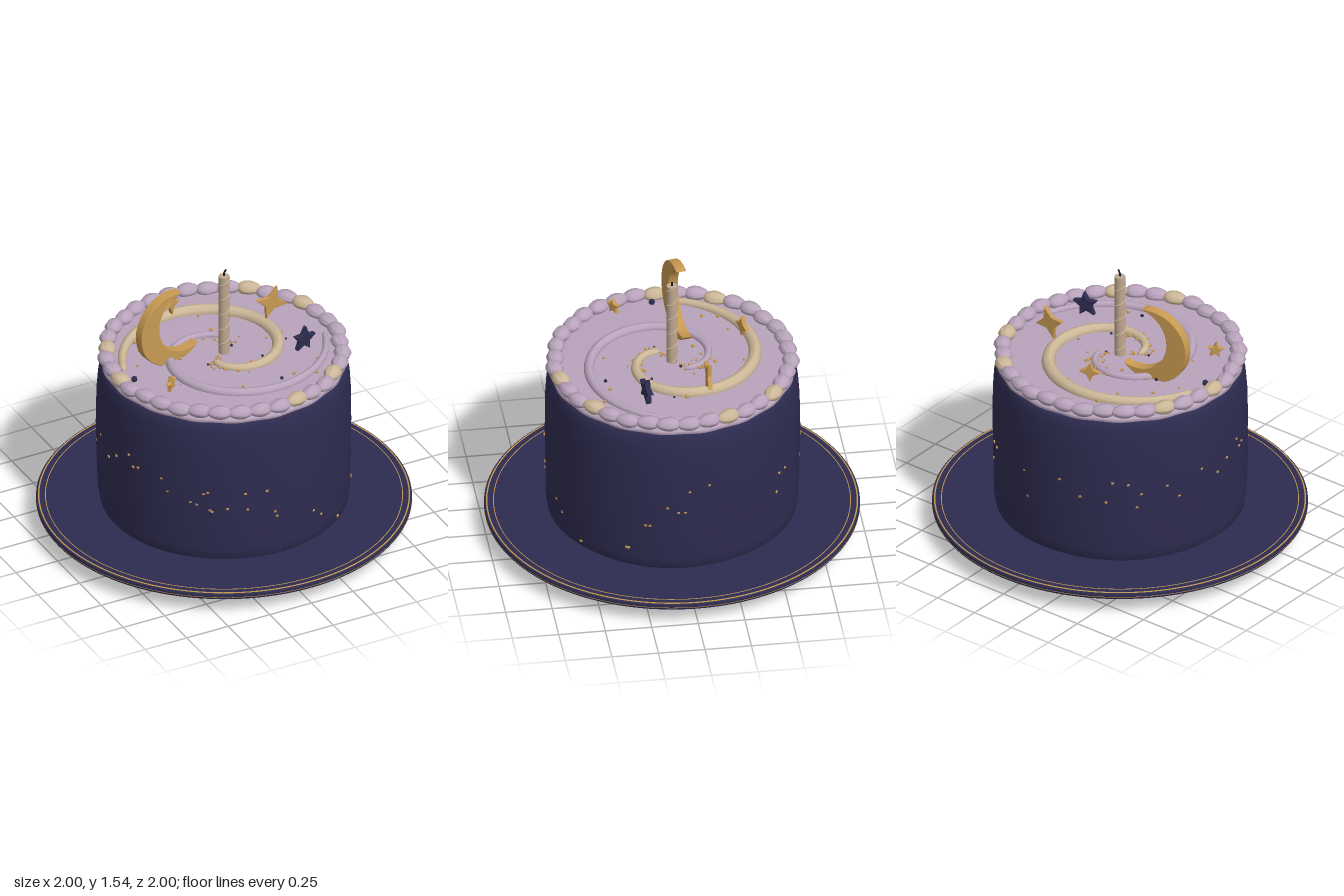
import * as THREE from 'three';

const mat = (name, color) => {
  const m = new THREE.MeshStandardMaterial({ color });
  m.name = name;
  return m;
};

export function createModel() {
  const navy = mat('midnight navy', 0x2e2c50);
  const lilac = mat('lilac frosting', 0xb8a3bb);
  const cream = mat('cream frosting', 0xcbb697);
  const wax = mat('candle wax', 0xbfa88f);
  const gold = mat('gold', 0xc89a52);
  const dark = mat('wick black', 0x1d1b2b);

  const root = new THREE.Group();
  root.name = 'celestialCake';
  const add = (name, geo, material, x = 0, y = 0, z = 0, parent = root) => {
    const m = new THREE.Mesh(geo, material);
    m.name = name;
    m.position.set(x, y, z);
    parent.add(m);
    return m;
  };
  const group = (name) => {
    const g = new THREE.Group();
    g.name = name;
    root.add(g);
    return g;
  };
  const lathe = (pts, seg = 96) =>
    new THREE.LatheGeometry(pts.map(([r, y]) => new THREE.Vector2(r, y)), seg);
  let seed = 7;
  const rand = () => (seed = (seed * 16807) % 2147483647) / 2147483647;

  // Plate with a short foot and gold lines
  add('plate', lathe([[0, 0], [0.46, 0], [0.465, 0.004], [0.52, 0.045], [0.53, 0.048], [0.85, 0.06],
    [0.97, 0.08], [0.995, 0.093], [1, 0.1], [1, 0.12], [0.995, 0.126], [0.98, 0.127], [0, 0.127]], 128), navy);
  const ring = (name, r, y, t) => add(name, new THREE.TorusGeometry(r, t, 6, 128), gold, 0, y, 0).rotateX(Math.PI / 2);
  ring('plateRimLine', 0.986, 0.125, 0.005);
  ring('plateInnerLine', 0.95, 0.126, 0.003);
  ring('plateEdgeLine', 0.998, 0.106, 0.003);
  ring('plateFootLine', 0.52, 0.045, 0.003);

  // Cake body, slightly uneven around the sides
  const sideR = (y) => y > 0.8 ? 0.678 - 0.6 * (y - 0.8) ** 2 : 0.68 - 0.015 * Math.abs(y - 0.6);
  const body = lathe([[0, 0.125], [0.645, 0.125], [0.662, 0.14], [0.672, 0.2], [0.677, 0.4], [0.68, 0.6],
    [0.677, 0.8], [0.67, 0.9], [0.66, 0.955], [0.645, 0.98], [0.6, 0.99], [0, 0.99]]);
  const wobble = (geo, amount, waves) => {
    const p = geo.attributes.position;
    for (let i = 0; i < p.count; i++) {
      const s = 1 + amount * Math.sin(waves * Math.atan2(p.getZ(i), p.getX(i)) + 4 * p.getY(i));
      p.setXYZ(i, p.getX(i) * s, p.getY(i), p.getZ(i) * s);
    }
    geo.computeVertexNormals();
    return geo;
  };
  add('cakeBody', wobble(body, 0.004, 5), navy);

  // Frosting layer with a softly scalloped edge
  add('frostingTop', wobble(lathe([[0.6, 0.97], [0.64, 0.973], [0.655, 0.985], [0.65, 1.0], [0.635, 1.012],
    [0.58, 1.02], [0, 1.02]], 144), 0.006, 18), lilac);

  // Piped shell border; a few shells are cream
  const border = group('pipedBorder');
  const shell = new THREE.SphereGeometry(1, 20, 12);
  const sp = shell.attributes.position;
  for (let i = 0; i < sp.count; i++) {
    const x = sp.getX(i), y = sp.getY(i), z = sp.getZ(i);
    const s = 1 + 0.05 * Math.cos(8 * Math.atan2(y, x));
    const fat = 1 - 0.15 * z;
    sp.setXYZ(i, x * s * fat, y * s * fat, z);
  }
  shell.computeVertexNormals();
  const count = 36;
  const creamAt = [-52, -19, 48, 81, 210, 180].map((d) => (Math.round(d / 10) + count) % count);
  for (let i = 0; i < count; i++) {
    const a = (i / count) * Math.PI * 2;
    const r = 0.628 + 0.006 * Math.sin(i * 2.3);
    const isCream = creamAt.includes(i);
    const m = add(isCream ? 'creamShell' : 'lilacShell', shell, isCream ? cream : lilac,
      Math.cos(a) * r, 1.034 + 0.003 * Math.sin(i * 1.7), Math.sin(a) * r, border);
    m.rotation.y = -a + 0.12;
    m.scale.set(0.045, 0.034, 0.066);
  }

  // Two facing piped spirals, tapered toward the ends
  class Spiral extends THREE.Curve {
    constructor(start) { super(); this.start = start; }
    getPoint(t, v = new THREE.Vector3()) {
      const a = this.start - t * 5.64, r = 0.1 + 0.465 * t;
      return v.set(Math.cos(a) * r, 1.024, Math.sin(a) * r);
    }
  }
  const taperedTube = (curve, n, radius) => {
    const sides = 12, geo = new THREE.TubeGeometry(curve, n, 1, sides);
    const p = geo.attributes.position, v = new THREE.Vector3();
    for (let i = 0; i <= n; i++) {
      const c = curve.getPointAt(i / n);
      for (let j = 0; j <= sides; j++) {
        const k = i * (sides + 1) + j;
        v.fromBufferAttribute(p, k).sub(c).multiplyScalar(radius(i / n)).add(c);
        p.setXYZ(k, v.x, v.y, v.z);
      }
    }
    geo.computeVertexNormals();
    return geo;
  };
  const swell = (min, max) => (t) =>
    (min + (max - min) * Math.sin(Math.PI * t)) * Math.sqrt(Math.min(1, 60 * t, 60 * (1 - t)));
  add('creamSpiral', taperedTube(new Spiral(2.63), 120, swell(0.02, 0.036)), cream);
  add('lilacSpiral', taperedTube(new Spiral(2.63 + Math.PI), 120, swell(0.015, 0.028)), lilac);

  // Candle with a twisted ridge and bent wick
  const candle = group('candle');
  add('candleStick', new THREE.CylinderGeometry(0.029, 0.029, 0.48, 24), wax, 0, 1.26, 0, candle);
  const twist = Array.from({ length: 61 }, (_, i) => {
    const a = (i / 60) * Math.PI * 10;
    return new THREE.Vector3(Math.cos(a) * 0.028, 1.03 + (i / 60) * 0.46, -Math.sin(a) * 0.028);
  });
  add('candleTwist', new THREE.TubeGeometry(new THREE.CatmullRomCurve3(twist), 160, 0.005, 6), cream, 0, 0, 0, candle);
  const wick = [[0, 1.49, 0], [0, 1.515, 0], [0.013, 1.537, 0]].map((p) => new THREE.Vector3(...p));
  add('wick', new THREE.TubeGeometry(new THREE.CatmullRomCurve3(wick), 8, 0.005, 6), dark, 0, 0, 0, candle);

  // Upright decorations cut from thin sheets
  const sheet = (shape, depth) => new THREE.ExtrudeGeometry(shape, {
    depth: depth - 0.006, bevelEnabled: true, bevelSize: 0.003, bevelThickness: 0.003, bevelSegments: 1, curveSegments: 32,
  }).translate(0, 0, -depth / 2 + 0.003);

  // Crescent moon: outer arc between the horns, then the inner arc back
  const tilt = 0.3, half = 1.05, R = 0.213, d = 0.09;
  const hx = R * Math.cos(half) - d, hy = R * Math.sin(half);
  const innerR = Math.hypot(hx, hy), innerA = Math.atan2(hy, hx);
  const moonShape = new THREE.Shape();
  moonShape.absarc(0, 0, R, half, Math.PI * 2 - half, false);
  moonShape.absarc(d, 0, innerR, Math.PI * 2 - innerA, innerA, true);
  add('crescentMoon', sheet(moonShape, 0.055).rotateZ(tilt), gold, -0.28, 1.22, -0.075).rotation.y = 0.17;

  const star = (name, points, outer, inner, depth, material, x, y, z, yaw, roll) => {
    const pts = [];
    for (let i = 0; i < points * 2; i++) {
      const a = Math.PI / 2 + (i * Math.PI) / points, r = i % 2 ? inner : outer;
      pts.push(new THREE.Vector2(Math.cos(a) * r, Math.sin(a) * r));
    }
    add(name, sheet(new THREE.Shape(pts), depth).rotateZ(roll), material, x, y, z).rotation.y = yaw;
  };
  star('largeGoldStar', 4, 0.092, 0.038, 0.022, gold, 0.36, 1.15, -0.145, 0, -0.35);
  star('backGoldStar', 4, 0.056, 0.022, 0.024, gold, -0.11, 1.135, -0.395, 0.4, 0);
  star('navyStar', 5, 0.07, 0.032, 0.03, navy, 0.38, 1.1, 0.19, 0.22, -0.15);
  star('smallGoldStar', 5, 0.042, 0.019, 0.024, gold, -0.45, 1.095, 0.25, 0.65, 0.1);

  // Sprinkles scattered along the spirals, with a few dark pearls
  const sprinkles = group('sprinkles');
  const bead = new THREE.SphereGeometry(1, 8, 6);
  for (let i = 0; i < 84; i++) {
    const t = rand() ** 1.6, arm = i % 2;
    const a = 2.63 + arm * Math.PI - t * 5.64, r = 0.1 + 0.44 * t + (rand() - 0.5) * 0.13;
    const isDark = i % 9 === 0;
    add(isDark ? 'darkPearl' : 'goldPearl', bead, isDark ? navy : gold,
      Math.cos(a) * r, 1.024, Math.sin(a) * r, sprinkles).scale.setScalar(0.005 + rand() * 0.006);
  }
  add('darkPearl', bead, navy, -0.555, 1.03, 0.03, sprinkles).scale.setScalar(0.017);

  // Gold flecks in bands around the sides: [angle from front toward +x in degrees, height]
  const flecks = group('goldFlecks');
  const fleck = new THREE.BoxGeometry(0.014, 0.01, 0.008);
  const spots = [[-76, 0.66], [-73, 0.6], [-70, 0.61], [-57, 0.6], [-54, 0.53], [-43, 0.49], [-40, 0.48], [-37, 0.55],
    [-35, 0.56], [-34, 0.45], [-33, 0.44], [-26, 0.46], [-18, 0.55], [-17, 0.45], [-8, 0.55], [-4, 0.41], [-3, 0.38],
    [17, 0.33], [22, 0.28], [36, 0.18], [62, 0.25], [70, 0.41], [99, 0.66], [90, 0.63], [88, 0.5], [85, 0.5],
    [80, 0.53], [72, 0.41], [61, 0.25], [139, 0.55], [144, 0.55], [137, 0.44], [170, 0.57], [172, 0.42],
    [190, 0.6], [200, 0.52], [212, 0.5], [215, 0.62], [222, 0.61], [226, 0.47], [228, 0.55], [240, 0.58],
    [246, 0.5], [258, 0.62], [268, 0.55], [275, 0.6]];
  for (const [deg, y] of spots) {
    const a = (deg * Math.PI) / 180, r = sideR(y);
    add('fleck', fleck, gold, Math.sin(a) * r, y, Math.cos(a) * r, flecks).rotation.set(0, a, rand() - 0.5);
  }
  return root;
}
